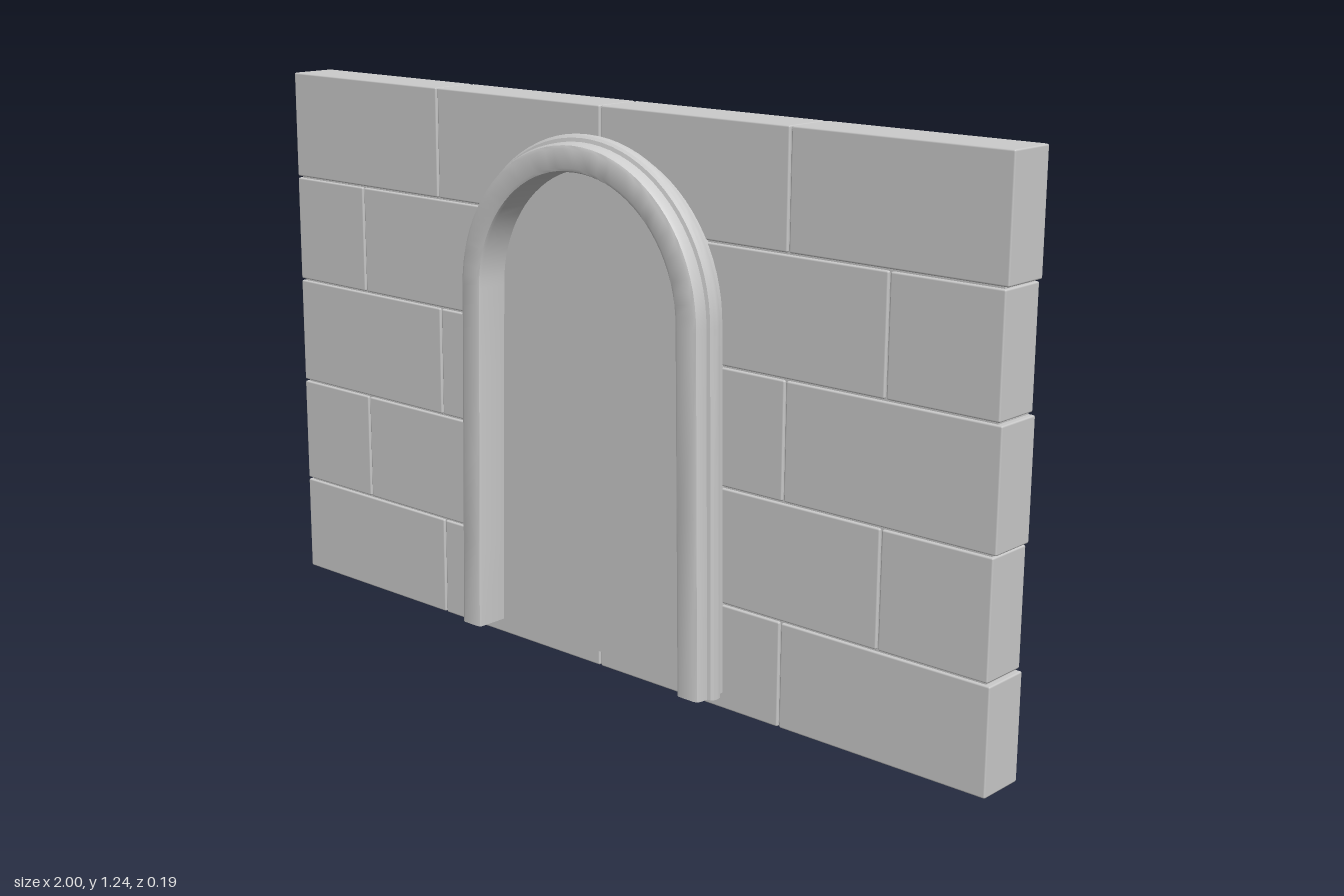
import * as THREE from 'three';
import { toCreasedNormals } from 'three/addons/utils/BufferGeometryUtils.js';
import { RoundedBoxGeometry } from 'three/addons/geometries/RoundedBoxGeometry.js';

const material = new THREE.MeshStandardMaterial({ color: 0xcccccc });
const BACK = -0.096, FRONT = 0.016, GAP = 0.004;
const CENTRE = -0.004, FOOT = 0.035, SPRING = 0.82, RADIUS = 0.282;

function addMesh(parent, name, geometry, x = 0, y = 0, z = 0) {
  const mesh = new THREE.Mesh(geometry, material);
  mesh.name = name;
  mesh.position.set(x, y, z);
  parent.add(mesh);
  return mesh;
}

// Inner line of the doorway, from the +x foot over the arch to the -x foot
function doorwayPath() {
  const points = [];
  for (let i = 0; i < 4; i++) {
    const t = i / 4;
    points.push(new THREE.Vector2(0.296 + (RADIUS - 0.296) * t, FOOT + (SPRING - FOOT) * t));
  }
  for (let i = 0; i <= 40; i++) {
    const a = (Math.PI * i) / 40;
    points.push(new THREE.Vector2(RADIUS * Math.cos(a), SPRING + RADIUS * Math.sin(a)));
  }
  for (let i = 3; i >= 0; i--) points.push(new THREE.Vector2(-points[i].x, points[i].y));
  return points;
}

// Sweeps a closed moulding section (outward offset, z) along the doorway line
function sweepMoulding(path, section) {
  const positions = [], index = [], n = section.length, last = path.length - 1;
  path.forEach((p, i) => {
    const t = path[Math.min(i + 1, last)].clone().sub(path[Math.max(i - 1, 0)]).normalize();
    // keep the feet level
    const normal = i === 0 ? [1, 0] : i === last ? [-1, 0] : [t.y, -t.x];
    section.forEach(([d, z]) => positions.push(p.x + normal[0] * d, p.y + normal[1] * d, z));
  });
  for (let i = 0; i < last; i++) {
    for (let j = 0; j < n; j++) {
      const k = (j + 1) % n;
      const a = i * n + j, b = i * n + k, c = b + n, d = a + n;
      index.push(a, b, c, a, c, d);
    }
  }
  // foot caps
  const outline = section.map(([d, z]) => new THREE.Vector2(d, z));
  for (const [a, b, c] of THREE.ShapeUtils.triangulateShape(outline, [])) {
    index.push(a, b, c, last * n + a, last * n + c, last * n + b);
  }
  const geometry = new THREE.BufferGeometry();
  geometry.setAttribute('position', new THREE.Float32BufferAttribute(positions, 3));
  geometry.setIndex(index);
  return toCreasedNormals(geometry, 0.5);
}

export function createModel() {
  const model = new THREE.Group();
  model.name = 'brickWallWithDoorway';

  // Courses of bricks with alternating joints
  const wall = new THREE.Group();
  wall.name = 'wall';
  model.add(wall);
  const levels = [0, 0.23, 0.482, 0.735, 0.986, 1.235];
  const depth = FRONT - BACK, midZ = (FRONT + BACK) / 2;
  for (let row = 0; row < 5; row++) {
    const joints = row % 2 ? [-1, -0.76, -0.26, 0.24, 0.74, 0.994] : [-1, -0.5, 0, 0.5, 1];
    const y0 = levels[row] + (row > 0 ? GAP / 2 : 0);
    const y1 = levels[row + 1] - (row < 4 ? GAP / 2 : 0);
    for (let i = 0; i < joints.length - 1; i++) {
      const x0 = joints[i] + (i > 0 ? GAP / 2 : 0);
      const x1 = joints[i + 1] - (i < joints.length - 2 ? GAP / 2 : 0);
      const brick = new RoundedBoxGeometry(x1 - x0, y1 - y0, depth, 1, 0.004);
      addMesh(wall, 'brick', brick, (x0 + x1) / 2, (y0 + y1) / 2, midZ);
    }
  }
  // Recessed mortar core
  addMesh(wall, 'mortar', new THREE.BoxGeometry(1.976, 1.223, depth - 0.012), 0, 0.6175, midZ);

  // Doorway: thin panel and arched moulding
  const doorway = new THREE.Group();
  doorway.name = 'doorway';
  doorway.position.x = CENTRE;
  model.add(doorway);
  const path = doorwayPath();
  const panel = new THREE.ExtrudeGeometry(new THREE.Shape(path), { depth: 0.02, bevelEnabled: false });
  addMesh(doorway, 'doorPanel', toCreasedNormals(panel, 0.5));
  const section = [
    [0, 0.012], [0, 0.088], [0.003, 0.094], [0.009, 0.096], [0.049, 0.096], [0.056, 0.093],
    [0.06, 0.086], [0.061, 0.067], [0.069, 0.065], [0.074, 0.06], [0.076, 0.052],
    [0.074, 0.041], [0.068, 0.035], [0.061, 0.032], [0.059, 0.012],
  ];
  addMesh(doorway, 'archMoulding', sweepMoulding(path, section));

  return model;
}
